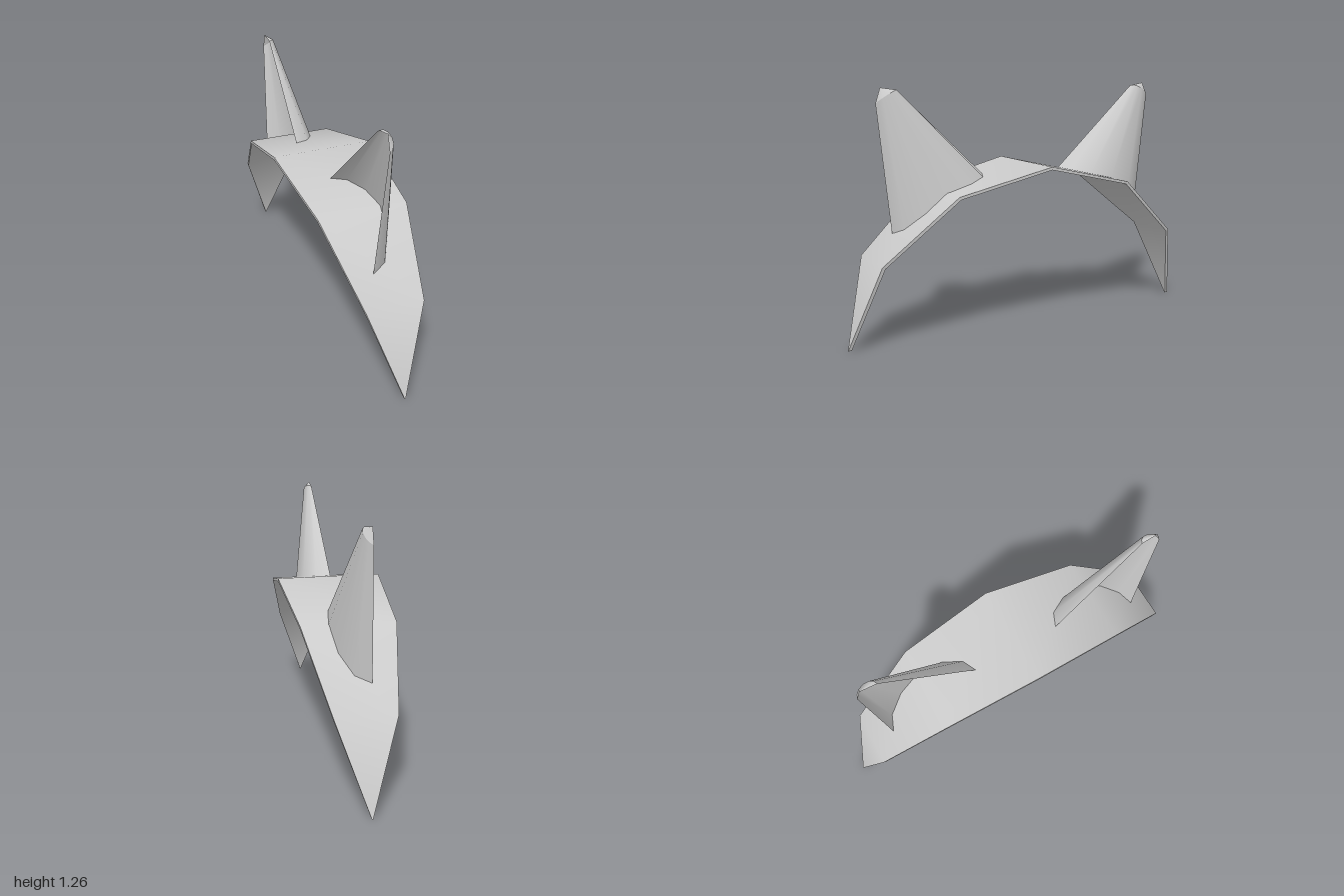
import * as THREE from 'three';

const material = new THREE.MeshStandardMaterial({ color: 0xcccccc, side: THREE.DoubleSide });

// Arch stations from the front tip (+z) over the top to the back tip
const HEIGHT = 0.866, THICK = 0.018;
const halfWidths = [0.002, 0.148, 0.233, 0.268, 0.233, 0.148, 0.002];
const arch = halfWidths.map((w, i) => {
  const a = (i * Math.PI) / 6;
  return { w, z: Math.cos(a), y: HEIGHT * Math.sin(a) };
});

// Height of the band's outer surface at a given z
function bandY(z) {
  const d = Math.abs(z);
  const i = d > arch[1].z ? 0 : d > arch[2].z ? 1 : 2;
  const a = arch[i], b = arch[i + 1];
  return a.y + (b.y - a.y) * (a.z - d) / (a.z - b.z);
}

// Joins rows of points into a smooth surface
function loft(rows, flip = false) {
  const n = rows[0].length, index = [];
  for (let r = 0; r < rows.length - 1; r++) {
    for (let c = 0; c < n - 1; c++) {
      const a = r * n + c, b = a + 1, d = a + n, e = d + 1;
      if (flip) index.push(a, d, b, b, d, e);
      else index.push(a, b, d, b, e, d);
    }
  }
  const geometry = new THREE.BufferGeometry();
  geometry.setAttribute('position', new THREE.Float32BufferAttribute(rows.flat(2), 3));
  geometry.setIndex(index);
  geometry.computeVertexNormals();
  return geometry;
}

function addMesh(parent, name, geometry) {
  const mesh = new THREE.Mesh(geometry, material);
  mesh.name = name;
  parent.add(mesh);
}

// Tapered arched band with a thin rim
function makeBand() {
  const band = new THREE.Group();
  band.name = 'headband';
  const k = 1 - THICK;
  const outer = s => arch.map(p => [s * p.w, p.y, p.z]);
  const inner = s => arch.map(p => [s * p.w, p.y * k, p.z * k]);
  addMesh(band, 'bandOuter', loft([outer(-1), outer(1)], true));
  addMesh(band, 'bandInner', loft([inner(-1), inner(1)]));
  addMesh(band, 'bandRimLeft', loft([outer(1), inner(1)], true));
  addMesh(band, 'bandRimRight', loft([outer(-1), inner(-1)]));
  return band;
}

// Half-cone ear, open on the -x side, its base following the band
function makeEar(side, name) {
  const base = [], rim = [], apex = [];
  for (let i = 0; i <= 6; i++) {
    const t = (i * Math.PI) / 6, c = Math.cos(t), s = Math.sin(t);
    const z = 0.4875 - 0.2525 * c;
    base.push([-0.055 + 0.152 * s, bandY(z), side * z - 0.005]);
    rim.push([-0.033 + 0.036 * s, 1.22 + 0.03 * c + 0.015 * s, side * (0.758 - 0.055 * c) - 0.005]);
    apex.push([-0.033, 1.265, side * 0.788 - 0.005]);
  }
  const ear = new THREE.Group();
  ear.name = name;
  addMesh(ear, name + 'Shell', loft([base, rim], side > 0));
  addMesh(ear, name + 'Tip', loft([rim, apex], side > 0));
  return ear;
}

export function createModel() {
  const model = new THREE.Group();
  model.name = 'earHeadband';
  model.add(makeBand(), makeEar(1, 'frontEar'), makeEar(-1, 'backEar'));
  return model;
}
